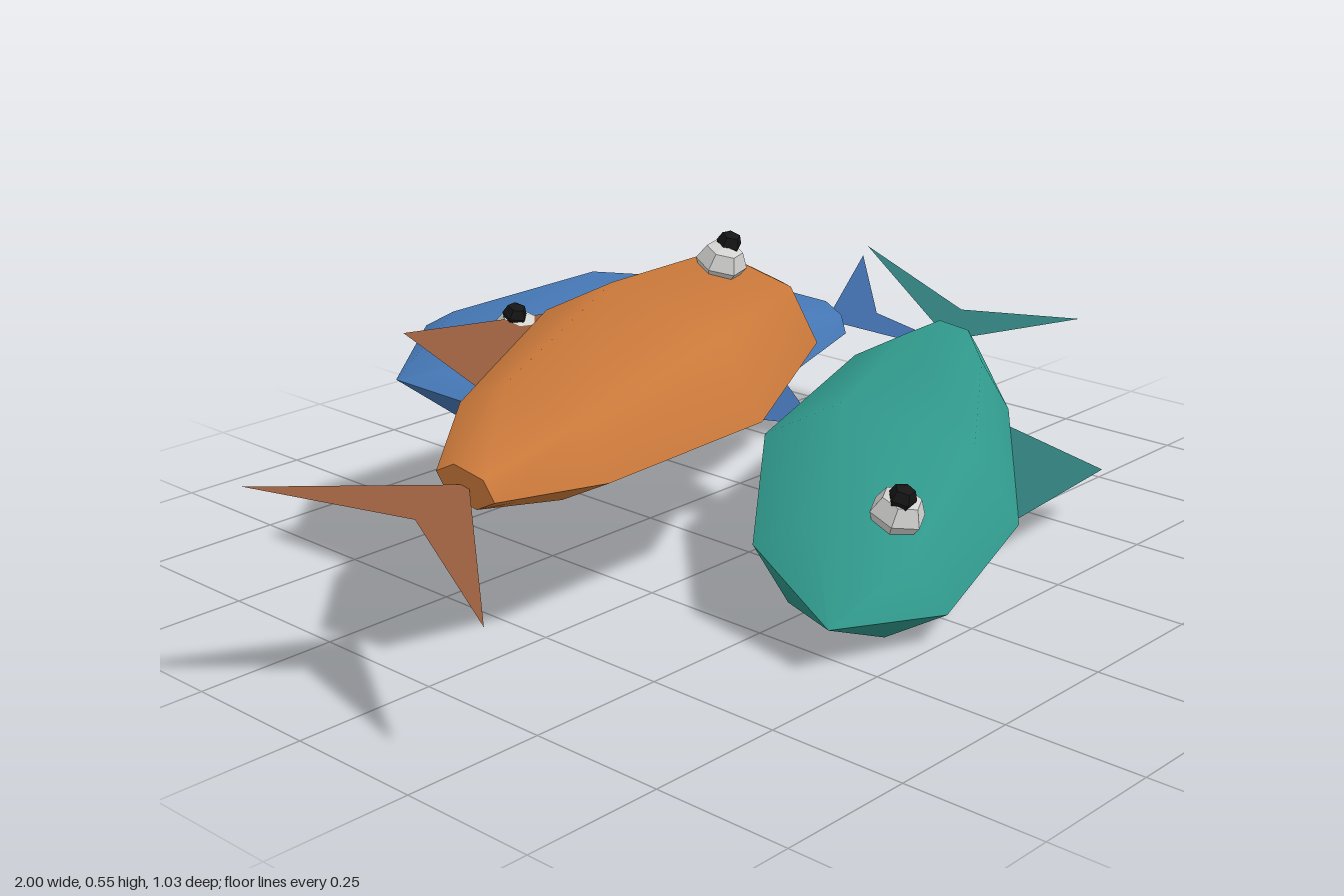
import * as THREE from 'three';
import { toCreasedNormals } from 'three/addons/utils/BufferGeometryUtils.js';

const flat = (name, color, extra = {}) => {
  const m = new THREE.MeshStandardMaterial({ color, ...extra });
  m.name = name;
  return m;
};

const eyeWhite = flat('eye white', 0xd2d2d0, { flatShading: true });
const pupilBlack = flat('pupil black', 0x161616, { flatShading: true });

const add = (parent, name, geometry, material) => {
  const mesh = new THREE.Mesh(geometry, material);
  mesh.name = name;
  parent.add(mesh);
  return mesh;
};

// Six-sided, flattened body: half-height and distance from the tail root
function bodyGeometry() {
  const profile = [[0, 0], [0.056, 0], [0.147, 0.188], [0.225, 0.555], [0.16, 0.88], [0, 1.027]];
  const g = new THREE.LatheGeometry(profile.map(([r, s]) => new THREE.Vector2(r, s)), 6);
  g.scale(0.577, 1, 1);
  g.rotateZ(-Math.PI / 2);
  return toCreasedNormals(g, 1.0);
}

// Flat fin lying in the middle plane of the fish
function finGeometry(points) {
  const shape = new THREE.Shape(points.map(([x, y]) => new THREE.Vector2(x, y)));
  return new THREE.ShapeGeometry(shape).rotateX(-Math.PI / 2);
}

// A fish on its side, tail root at the origin, nose toward +x, back toward -z
function makeFish(name, bodyMaterial, finMaterial) {
  const fish = new THREE.Group();
  fish.name = name;
  add(fish, 'body', bodyGeometry(), bodyMaterial);
  add(fish, 'tailFin', finGeometry([[0.01, 0], [-0.259, 0.221], [-0.128, 0], [-0.259, -0.221]]), finMaterial);
  add(fish, 'backFin', finGeometry([[0.24, 0.12], [0.555, 0.2], [0.535, 0.222], [0.284, 0.336]]), finMaterial);

  const eye = add(fish, 'eye', new THREE.SphereGeometry(0.047, 6, 4), eyeWhite);
  eye.scale.y = 0.85;
  eye.position.set(0.81, 0.1, -0.035);
  const pupil = add(fish, 'pupil', new THREE.SphereGeometry(0.024, 5, 4), pupilBlack);
  pupil.position.set(0.822, 0.136, -0.035);
  return fish;
}

export function createModel() {
  const model = new THREE.Group();
  model.name = 'fishPile';

  // The whole pile leans toward the front
  const pile = new THREE.Group();
  pile.name = 'leaningPile';
  pile.rotation.x = 0.329;
  model.add(pile);

  const fishes = [
    ['orangeFish', 0xc9783a, 0x91593a, [-0.69, 0.315, -0.068], 0.243, 1],
    ['tealFish', 0x30988b, 0x2c7573, [0.65, 0.211, -0.125], -2.642, 1.056],
    ['blueFish', 0x4577b5, 0x3c659f, [0.484, 0.194, -0.3], 2.941, 0.94],
  ];
  for (const [name, bodyColor, finColor, position, heading, size] of fishes) {
    const fish = makeFish(
      name,
      flat(name + ' body', bodyColor),
      flat(name + ' fin', finColor, { side: THREE.DoubleSide })
    );
    fish.position.set(...position);
    fish.rotation.y = heading;
    fish.scale.setScalar(size);
    pile.add(fish);
  }
  return model;
}
